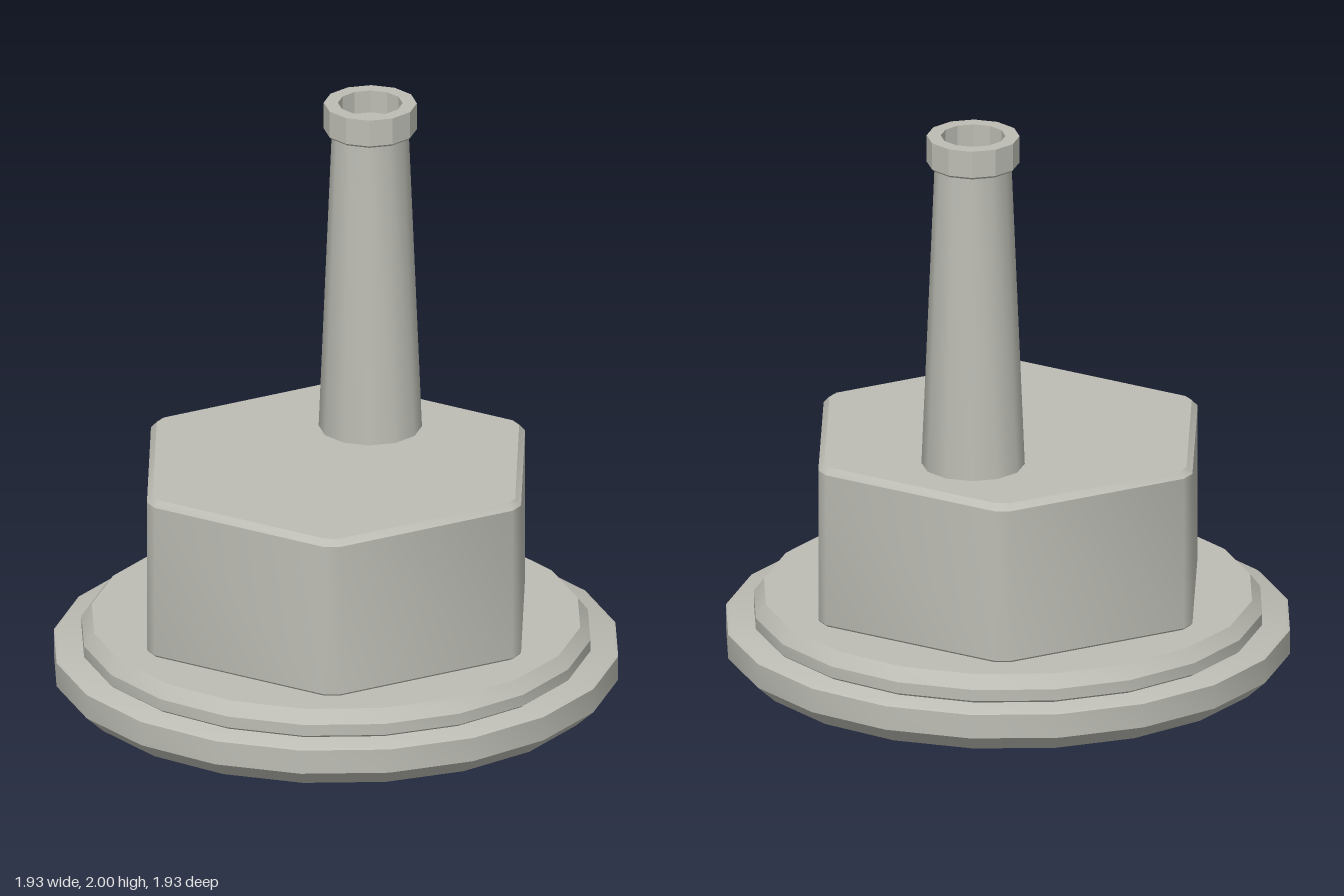
import * as THREE from 'three';
import { toCreasedNormals } from 'three/addons/utils/BufferGeometryUtils.js';

const CREASE = 0.6;

// Turned solid from [radius, height] pairs, listed from the bottom up
function turned(name, profile, sides, material, crease = CREASE) {
  const points = profile.map(([r, y]) => new THREE.Vector2(r, y));
  const mesh = new THREE.Mesh(toCreasedNormals(new THREE.LatheGeometry(points, sides), crease), material);
  mesh.name = name;
  return mesh;
}

// Hexagon outline with each corner cut by a short edge
function hexagonShape(radius, cut) {
  const corner = (i) => new THREE.Vector2(Math.cos(i * Math.PI / 3), Math.sin(i * Math.PI / 3)).multiplyScalar(radius);
  const points = [];
  for (let i = 0; i < 6; i++) {
    points.push(corner(i).lerp(corner(i - 1), cut / radius), corner(i).lerp(corner(i + 1), cut / radius));
  }
  return new THREE.Shape(points);
}

export function createModel() {
  const model = new THREE.Group();
  model.name = 'hexagonalBuildingWithChimney';
  const grey = new THREE.MeshStandardMaterial({ color: 0xbdbdb5 });
  grey.name = 'warm grey';

  // Stepped round foundation
  model.add(turned('foundation', [[0, 0], [0.9, 0], [0.965, 0.06], [0.965, 0.145], [0.955, 0.151], [0, 0.151]], 20, grey));
  model.add(turned('upperStep', [[0.85, 0.145], [0.87, 0.16], [0.87, 0.2], [0.835, 0.245], [0, 0.245]], 20, grey));

  // Bevelled hexagonal block
  const bevel = 0.022;
  const bottom = 0.23, top = 0.815;
  const block = new THREE.ExtrudeGeometry(hexagonShape(0.733, 0.032), {
    depth: top - bottom - 2 * bevel,
    bevelEnabled: true, bevelSegments: 1,
    bevelSize: 0.02, bevelOffset: -0.02, bevelThickness: bevel,
  });
  block.rotateX(-Math.PI / 2);
  block.translate(0, bottom + bevel, 0);
  const hall = new THREE.Mesh(toCreasedNormals(block, CREASE), grey);
  hall.name = 'hexagonalBlock';
  model.add(hall);

  // Tapered chimney with a faceted, hollow collar
  const chimney = new THREE.Group();
  chimney.name = 'chimney';
  chimney.position.set(0.25, 0, -0.213);
  chimney.add(turned('stack', [[0.176, 0.8], [0.13, 1.91]], 12, grey));
  chimney.add(turned('collar', [
    [0.12, 1.897], [0.15, 1.897], [0.158, 1.905], [0.158, 2],
    [0.11, 2], [0.11, 1.92], [0, 1.92],
  ], 12, grey, 0.3));
  model.add(chimney);

  return model;
}
